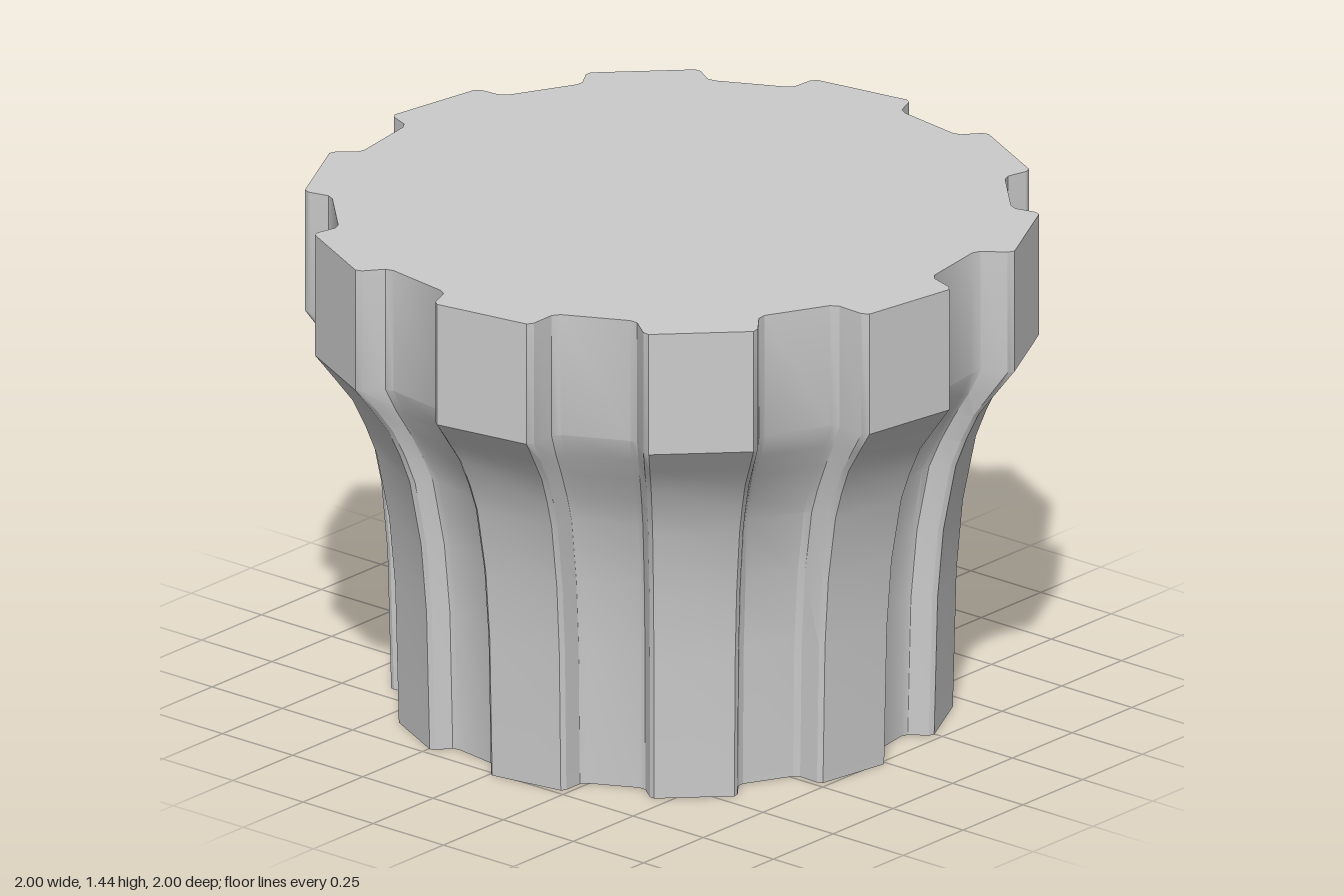
import * as THREE from 'three';
import { toCreasedNormals } from 'three/addons/utils/BufferGeometryUtils.js';

const TEETH = 10;
// height, rib radius, groove scale (1 = full top groove radius)
const LEVELS = [
  [0, 0.765, 0.765], [0.4, 0.775, 0.775], [0.6, 0.792, 0.795], [0.79, 0.828, 0.835],
  [0.87, 0.858, 0.873], [0.95, 0.895, 0.92], [1.02, 0.947, 0.965], [1.09, 1, 1], [1.44, 1, 1],
];
// groove radius at the top, one per groove; three are cut slightly deeper
const GROOVES = [0.89, 0.9, 0.915, 0.922, 0.922, 0.922, 0.922, 0.922, 0.92, 0.9];
// half of a rib outline: degrees from the rib centre, lift (0 groove, 1 rib face)
const HALF = [[11.8, 0], [10.5, 0.15], [9.1, 0.86], [8.2, 1]];

// Outline of the ribbed body at one level
function ring([y, rib, grooveScale]) {
  const points = [];
  for (let i = 0; i < TEETH; i++) {
    const centre = i * 36 + 9;
    const add = (deg, lift, groove) => {
      const a = THREE.MathUtils.degToRad(centre + deg);
      const r = THREE.MathUtils.lerp(groove * grooveScale, rib, lift);
      points.push([r * Math.cos(a), y, r * Math.sin(a)]);
    };
    HALF.forEach(([d, t]) => add(-d, t, GROOVES[(i + TEETH - 1) % TEETH]));
    [...HALF].reverse().forEach(([d, t]) => add(d, t, GROOVES[i]));
  }
  return points;
}

export function createModel() {
  const rings = LEVELS.map(ring);
  const n = rings[0].length;
  const last = rings.length - 1;
  const pos = [];
  const tri = (...corners) => corners.forEach((p) => pos.push(...p));

  for (let k = 0; k < n; k++) {
    const m = (k + 1) % n;
    // Ribbed wall
    for (let j = 0; j < last; j++) {
      const lo = rings[j], hi = rings[j + 1];
      tri(lo[k], hi[k], hi[m]);
      tri(lo[k], hi[m], lo[m]);
    }
    // Flat bottom and top
    tri([0, 0, 0], rings[0][k], rings[0][m]);
    tri([0, LEVELS[last][0], 0], rings[last][m], rings[last][k]);
  }

  const geometry = new THREE.BufferGeometry();
  geometry.setAttribute('position', new THREE.Float32BufferAttribute(pos, 3));
  const body = new THREE.Mesh(
    toCreasedNormals(geometry, THREE.MathUtils.degToRad(30)),
    new THREE.MeshStandardMaterial({ color: 0xcccccc }),
  );
  body.name = 'ribbedKnob';

  const group = new THREE.Group();
  group.name = 'knob';
  group.add(body);
  return group;
}
